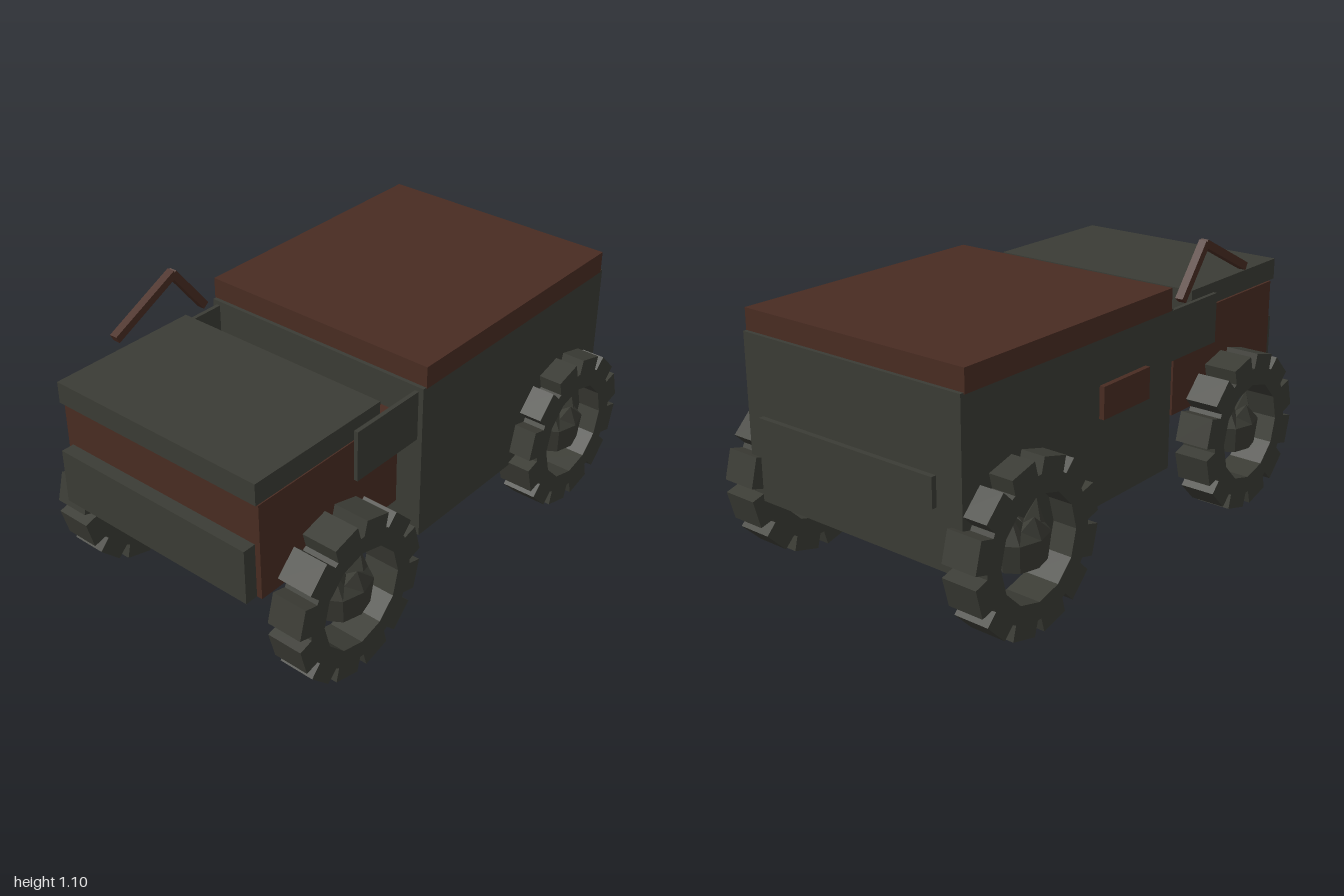
import * as THREE from 'three';

export function createModel() {
  const group = new THREE.Group();
  group.name = 'offRoadTruck';

  const mat = (name, color) => {
    const m = new THREE.MeshStandardMaterial({ color, flatShading: true });
    m.name = name;
    return m;
  };
  const olive = mat('dark olive', 0x3b3c35);
  const brown = mat('rust brown', 0x492c22);

  const add = (name, geometry, material, parent = group) => {
    const mesh = new THREE.Mesh(geometry, material);
    mesh.name = name;
    parent.add(mesh);
    return mesh;
  };
  // Box given by its limits on each axis
  const box = (name, material, [x0, x1], [y0, y1], [z0, z1]) => {
    const mesh = add(name, new THREE.BoxGeometry(x1 - x0, y1 - y0, z1 - z0), material);
    mesh.position.set((x0 + x1) / 2, (y0 + y1) / 2, (z0 + z1) / 2);
    return mesh;
  };

  // Cabin and bonnet; the truck drives toward -x
  box('cabinBody', olive, [-0.19, 0.945], [0.275, 0.89], [-0.49, 0.493]);
  box('roof', brown, [-0.175, 0.93], [0.885, 0.97], [-0.494, 0.495]);
  box('engineBay', brown, [-0.95, -0.265], [0.45, 0.82], [-0.45, 0.445]);
  box('bonnet', olive, [-0.965, -0.365], [0.828, 0.91], [-0.455, 0.448]);
  box('frontBumper', olive, [-1, -0.945], [0.45, 0.66], [-0.43, 0.423]);
  box('rearPlate', olive, [0.96, 0.98], [0.5, 0.608], [-0.397, 0.4]);
  box('sidePlate', brown, [-0.025, 0.245], [0.6, 0.72], [-0.51, -0.485]);

  // Panels joining bonnet and cabin
  for (const side of [-1, 1]) {
    box('cowlPanel', olive, [-0.51, -0.185], [0.68, 0.873], [side * 0.465 - 0.008, side * 0.465 + 0.008]);
  }

  // Bent pipe beside the bonnet
  const pipe = [[-0.68, 0.945], [-0.4, 1.085], [-0.26, 0.905]];
  for (let i = 0; i < 2; i++) {
    const [ax, ay] = pipe[i], [bx, by] = pipe[i + 1];
    const rod = add('bentPipe', new THREE.BoxGeometry(Math.hypot(bx - ax, by - ay) + 0.01, 0.03, 0.032), brown);
    rod.position.set((ax + bx) / 2, (ay + by) / 2, -0.476);
    rod.rotation.z = Math.atan2(by - ay, bx - ax);
  }

  // Tyre outline: twelve lugs with narrow notches, around a twelve-sided hole
  const polar = (r, deg) => new THREE.Vector2(r * Math.cos(deg * Math.PI / 180), r * Math.sin(deg * Math.PI / 180));
  const outline = [], hole = [];
  for (let a = 0; a < 360; a += 30) {
    outline.push(polar(0.256, a + 2), polar(0.312, a + 4.5), polar(0.312, a + 25.5), polar(0.256, a + 28));
    hole.push(polar(0.192, a));
  }
  const tyreShape = new THREE.Shape(outline);
  tyreShape.holes.push(new THREE.Path(hole));
  const tyreGeometry = new THREE.ExtrudeGeometry(tyreShape, { depth: 0.14, bevelEnabled: false });
  tyreGeometry.translate(0, 0, -0.07);

  // Rough hub: an eight-sided cup whose crown is pulled into uneven peaks
  const hubProfile = [[0, -0.07], [0.1, -0.07], [0.115, 0.03], [0.07, 0.085], [0, 0.07]].map(p => new THREE.Vector2(...p));
  const hubGeometry = new THREE.LatheGeometry(hubProfile, 8);
  const hp = hubGeometry.attributes.position;
  for (let i = 0; i < hp.count; i++) {
    const ring = i % 5, spoke = Math.floor(i / 5) % 8;
    if (ring === 3) hp.setY(i, spoke % 2 ? 0.065 : 0.105 + 0.03 * (spoke === 2 || spoke === 6));
    hp.setZ(i, hp.getZ(i) * 0.67);
  }
  hubGeometry.computeVertexNormals();

  // Four wheels
  for (const x of [-0.618, 0.685]) {
    for (const side of [-1, 1]) {
      const wheel = new THREE.Group();
      wheel.name = x < 0 ? 'frontWheel' : 'rearWheel';
      wheel.position.set(x, 0.311, side * 0.515);
      add('tyre', tyreGeometry, olive, wheel);
      add('hub', hubGeometry, olive, wheel);
      group.add(wheel);
    }
  }
  return group;
}
